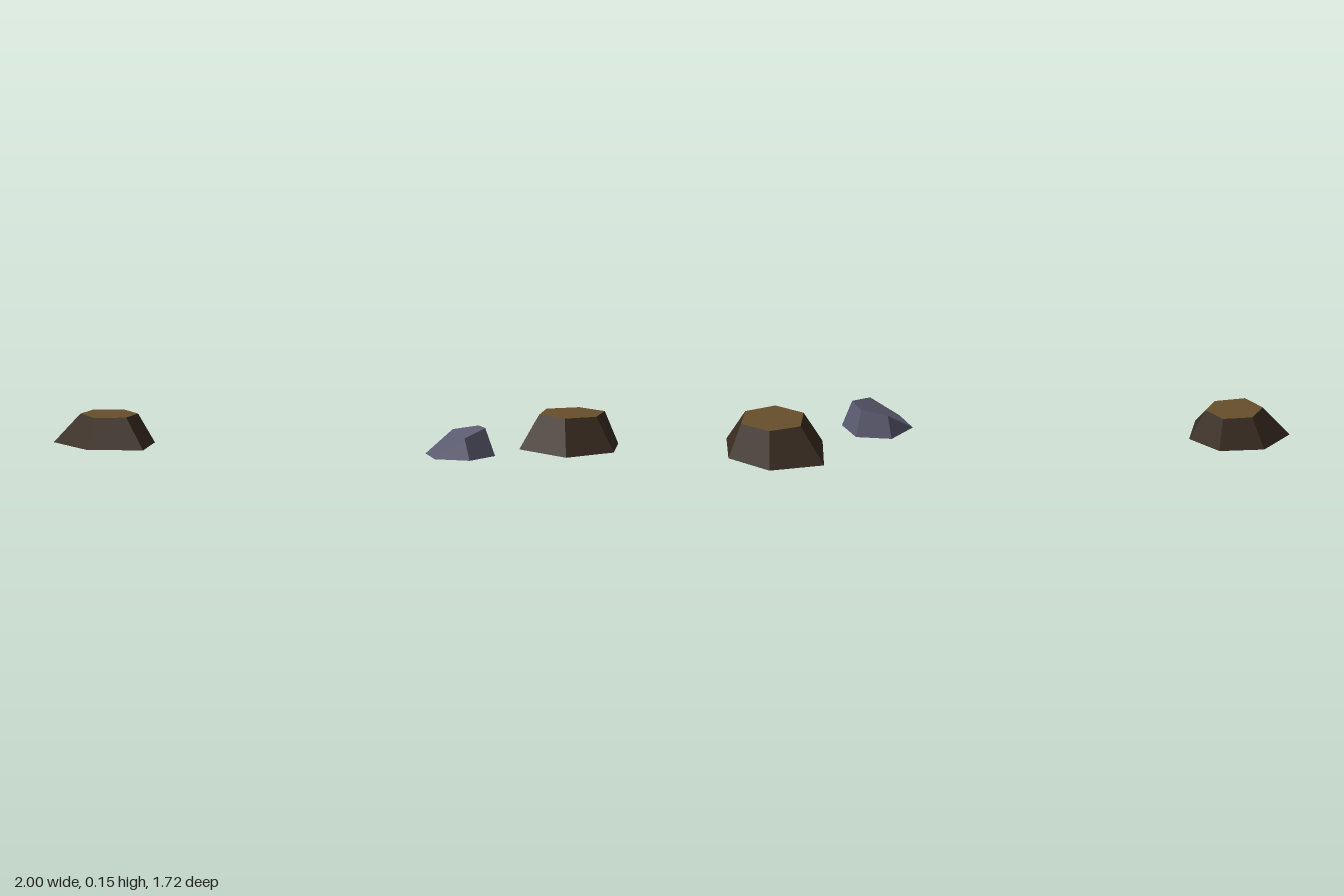
import * as THREE from 'three';

const paint = (name, color) => {
  const m = new THREE.MeshStandardMaterial({ color });
  m.name = name;
  return m;
};

// Mesh of facets, each a list of corners counter-clockwise from outside with one shared normal
function facets(name, faces, material) {
  const pos = [], nor = [];
  for (const face of faces) {
    const v = face.map((p) => new THREE.Vector3(...p));
    const n = new THREE.Vector3();
    for (let i = 1; i < v.length - 1; i++) {
      n.add(v[i].clone().sub(v[0]).cross(v[i + 1].clone().sub(v[0])));
      pos.push(...v[0], ...v[i], ...v[i + 1]);
    }
    n.normalize();
    for (let i = 0; i < 3 * (v.length - 2); i++) nor.push(...n);
  }
  const g = new THREE.BufferGeometry();
  g.setAttribute('position', new THREE.Float32BufferAttribute(pos, 3));
  g.setAttribute('normal', new THREE.Float32BufferAttribute(nor, 3));
  const mesh = new THREE.Mesh(g, material);
  mesh.name = name;
  return mesh;
}

const named = (name, ...parts) => {
  const group = new THREE.Group();
  group.name = name;
  return group.add(...parts);
};

// Lift a ring of [x, z] pairs to height y
const ring = (points, y) => points.map(([x, z]) => [x, y, z]);

export function createModel() {
  const darkEarth = paint('dark earth', 0x382b1f);
  const dryEarth = paint('dry earth', 0x684f2b);
  const stone = paint('grey stone', 0x5a5a70);
  const shadowBlack = paint('black underside', 0x080808);

  // Flat-topped mound between two rings, both clockwise from above
  const mound = (name, base, top, height) => {
    const b = ring(base, 0);
    const t = ring(top, height);
    const sides = b.map((p, i) => {
      const j = (i + 1) % b.length;
      return [b[j], p, t[i], t[j]];
    });
    return named(name,
      facets('slopes', sides, darkEarth),
      facets('flatTop', [[...t].reverse()], dryEarth),
      facets('underside', [b], shadowBlack));
  };

  // Large mound at the back left
  const largeMound = mound('largeMound',
    [[0.63, -0.86], [0.86, -0.85], [1, -0.67], [0.935, -0.43], [0.64, -0.445], [0.47, -0.67]],
    [[0.685, -0.785], [0.835, -0.79], [0.905, -0.66], [0.835, -0.53], [0.685, -0.525], [0.605, -0.66]],
    0.15);

  // Small mound at the front right
  const smallMound = mound('smallMound',
    [[-0.85, 0.48], [-0.66, 0.515], [-0.56, 0.7], [-0.75, 0.86], [-0.99, 0.815], [-1, 0.61]],
    [[-0.83, 0.535], [-0.71, 0.57], [-0.68, 0.68], [-0.77, 0.785], [-0.895, 0.745], [-0.925, 0.625]],
    0.13);

  // Chipped rock: hexagonal foot, crown sloping down to the front
  const foot = ring([[0.545, -0.325], [0.675, -0.25], [0.675, -0.085],
    [0.535, -0.01], [0.405, -0.09], [0.405, -0.25]], 0);
  const [f0, f1, f2, f3, f4, f5] = foot;
  const back = [0.545, 0.117, -0.285], high = [0.63, 0.122, -0.235];
  const front = [0.63, 0.093, -0.1], side = [0.44, 0.095, -0.23];
  const rock = named('rock',
    facets('rockFaces', [
      [side, f4, f3, front, high, back],
      [f1, f0, back, high],
      [f2, f1, high, front],
      [f3, f2, front],
      [f5, f4, side],
      [f0, f5, side, back],
    ], stone),
    facets('rockUnderside', [foot], shadowBlack));

  return named('moundsAndRock', largeMound, smallMound, rock);
}
